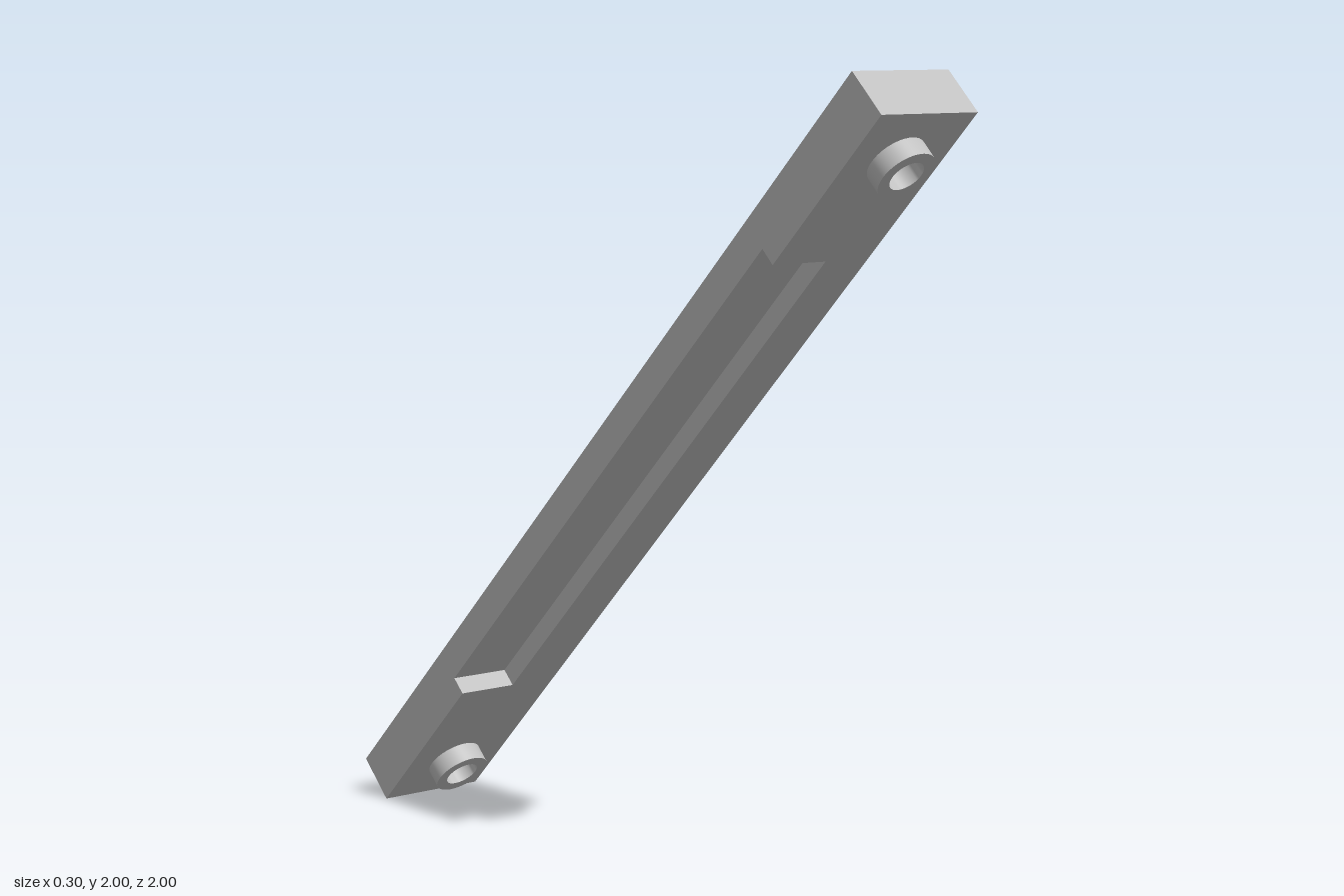
import * as THREE from 'three';
import { toCreasedNormals } from 'three/addons/utils/BufferGeometryUtils.js';

const HALF_WIDTH = 0.152, HALF_LENGTH = 1.347;
const HALF_THICK = 0.067, STEP = 0.05; // STEP: recess depth and boss height
const BOSS_Y = 1.195, BOSS_R = 0.075, BORE_R = 0.045;
const NOTCH_Y = 0.85, NOTCH_X = 0.015;

const circle = (Kind, y, r) => new Kind().absarc(0, y, r, 0, Math.PI * 2, false);

function extrude(shape, depth) {
  const geometry = new THREE.ExtrudeGeometry(shape, { depth, bevelEnabled: false, curveSegments: 20 });
  return toCreasedNormals(geometry, 0.6);
}

export function createModel() {
  const grey = new THREE.MeshStandardMaterial({ color: 0xc0c0c0 });
  grey.name = 'plain grey';
  const model = new THREE.Group();
  model.name = 'slantedBar';

  const add = (name, geometry, y, z) => {
    const mesh = new THREE.Mesh(geometry, grey);
    mesh.name = name;
    mesh.position.set(0, y, z);
    bar.add(mesh);
  };

  // Bar frame: y runs along the bar, z points out of its underside
  const bar = new THREE.Group();
  bar.name = 'bar';
  bar.rotation.x = Math.PI / 4;
  bar.position.y = 1;
  model.add(bar);

  // Solid upper layer
  const upper = HALF_THICK * 2 - STEP;
  add('upperLayer', new THREE.BoxGeometry(HALF_WIDTH * 2, HALF_LENGTH * 2, upper), 0, -HALF_THICK + upper / 2);

  // Lower layer with the long side recess and two blind bores
  const outline = new THREE.Shape([
    [-HALF_WIDTH, -HALF_LENGTH], [HALF_WIDTH, -HALF_LENGTH],
    [HALF_WIDTH, HALF_LENGTH], [-HALF_WIDTH, HALF_LENGTH],
    [-HALF_WIDTH, NOTCH_Y], [NOTCH_X, NOTCH_Y],
    [NOTCH_X, -NOTCH_Y], [-HALF_WIDTH, -NOTCH_Y],
  ].map(([x, y]) => new THREE.Vector2(x, y)));
  for (const side of [-1, 1]) outline.holes.push(circle(THREE.Path, side * BOSS_Y, BORE_R));
  add('recessedLayer', extrude(outline, STEP), 0, HALF_THICK - STEP);

  // Hollow round bosses at both ends
  const ring = circle(THREE.Shape, 0, BOSS_R);
  ring.holes.push(circle(THREE.Path, 0, BORE_R));
  const ringGeometry = extrude(ring, STEP);
  add('lowerBoss', ringGeometry, -BOSS_Y, HALF_THICK);
  add('upperBoss', ringGeometry, BOSS_Y, HALF_THICK);

  return model;
}
